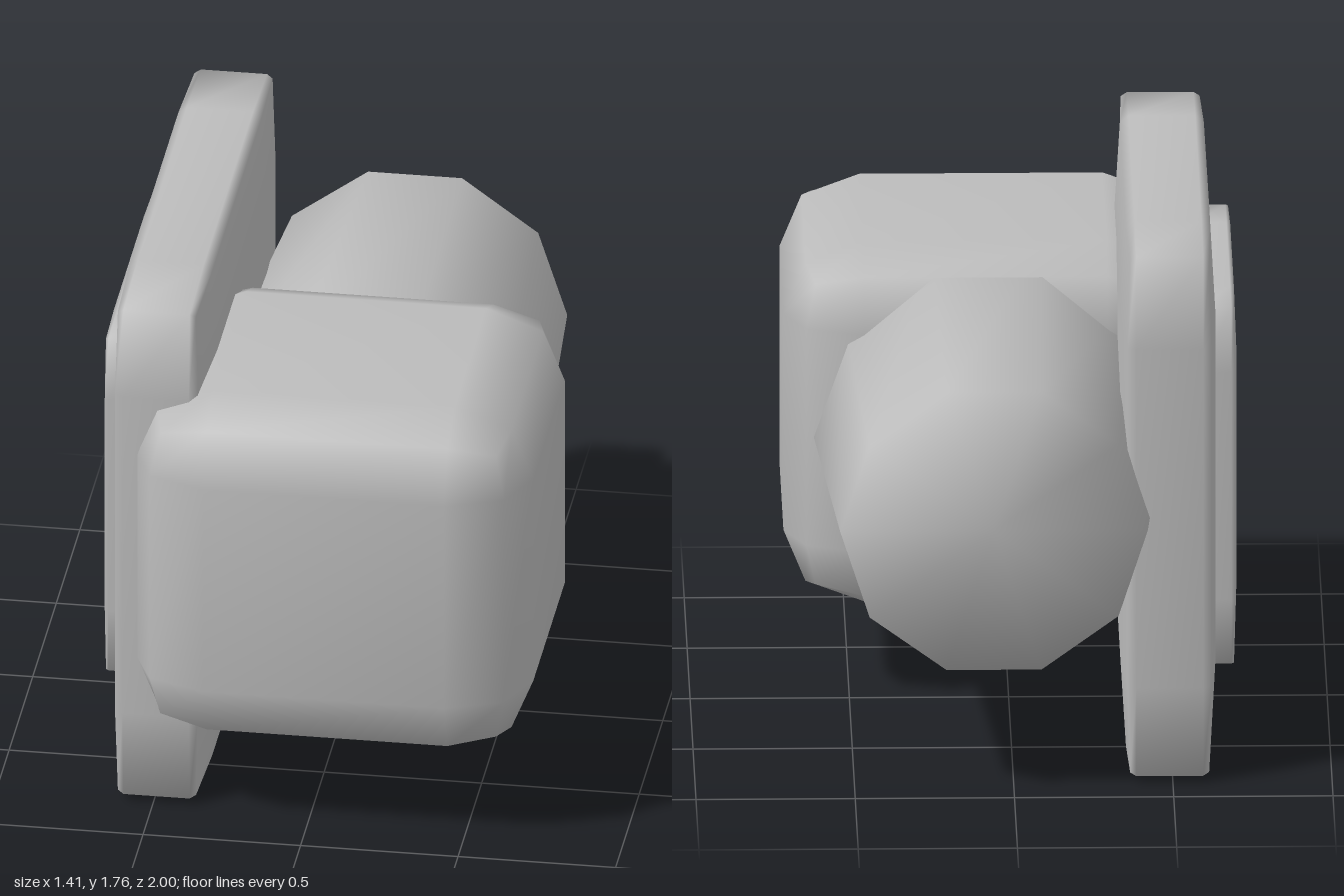
import * as THREE from 'three';
import { mergeVertices } from 'three/addons/utils/BufferGeometryUtils.js';

// Weld all seams so that normals run smoothly over every edge
function smooth(geometry) {
  geometry.deleteAttribute('normal');
  geometry.deleteAttribute('uv');
  const welded = mergeVertices(geometry, 1e-4);
  welded.computeVertexNormals();
  return welded;
}

// Box whose edges are bevelled in two facets.
// inset: where each flat face ends; cut: how far the middle of an edge is pulled in.
function bevelBox(size, inset, cut) {
  const geometry = new THREE.BoxGeometry(2, 2, 2, 3, 3, 3);
  const p = geometry.attributes.position;
  for (let i = 0; i < p.count; i++) {
    const v = [p.getX(i), p.getY(i), p.getZ(i)];
    const outer = v.filter((c) => Math.abs(c) > 0.9).length;
    const pull = [0, 0, 1, 1.44][outer];
    const q = v.map((c, a) => {
      const reach = Math.abs(c) > 0.9 ? size[a] / 2 - cut[a] * pull : size[a] / 2 - inset[a];
      return Math.sign(c) * reach;
    });
    p.setXYZ(i, ...q);
  }
  return smooth(geometry);
}

export function createModel() {
  const model = new THREE.Group();
  const grey = new THREE.MeshStandardMaterial({ color: 0xbcbcbc });
  grey.name = 'plain grey';

  const add = (name, geometry, x, y, z) => {
    const mesh = new THREE.Mesh(geometry, grey);
    mesh.name = name;
    mesh.position.set(x, y, z);
    model.add(mesh);
  };

  // Chunky rounded block at the front
  add('headBlock', bevelBox([1.264, 1.19, 1.12], [0.25, 0.237, 0.225], [0.069, 0.068, 0.068]), 0.073, 0.88, 0.44);

  // Tapered ten-sided arm running back from the block
  const arm = new THREE.CylinderGeometry(0.567, 0.483, 1.2, 10, 1);
  arm.rotateY(Math.PI / 2);
  arm.rotateX(Math.PI / 2);
  add('arm', smooth(arm), 0.064, 0.883, -0.4);

  // Large side plate and the raised panel on its outer face
  add('sidePlate', bevelBox([0.3, 1.76, 1.68], [0.045, 0.32, 0.32], [0.018, 0.022, 0.02]), -0.49, 0.88, -0.04);
  add('outerPanel', bevelBox([0.14, 1.19, 1.036], [0.02, 0.22, 0.2], [0.008, 0.006, 0.006]), -0.639, 0.88, -0.043);

  return model;
}
